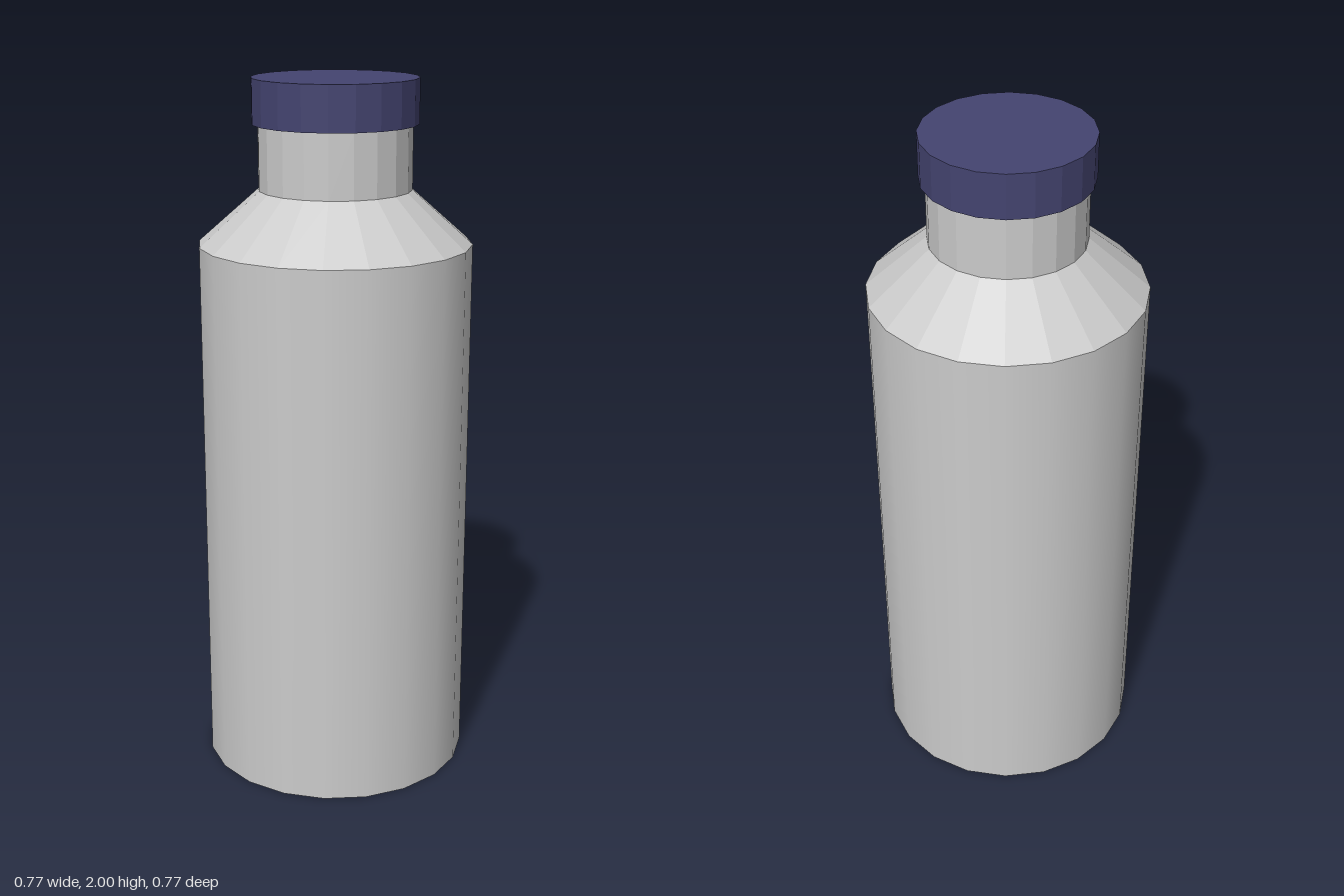
import * as THREE from 'three';

const SIDES = 20;

export function createModel() {
  const group = new THREE.Group();
  group.name = 'bottle';

  const smooth = new THREE.MeshStandardMaterial({ color: 0xcccccc });
  const faceted = new THREE.MeshStandardMaterial({ color: 0xcccccc, flatShading: true });
  const capPaint = new THREE.MeshStandardMaterial({ color: 0x444470, flatShading: true });

  // A round section standing between two heights
  function section(name, rTop, rBottom, y0, y1, material, open = false) {
    const geometry = new THREE.CylinderGeometry(rTop, rBottom, y1 - y0, SIDES, 1, open);
    const mesh = new THREE.Mesh(geometry, material);
    mesh.name = name;
    mesh.position.y = (y0 + y1) / 2;
    group.add(mesh);
  }

  section('body', 0.385, 0.385, 0, 1.545, smooth);
  section('shoulder', 0.215, 0.385, 1.545, 1.695, faceted, true);
  section('neck', 0.215, 0.215, 1.695, 1.875, faceted, true);
  section('cap', 0.232, 0.232, 1.875, 2, capPaint);

  return group;
}
